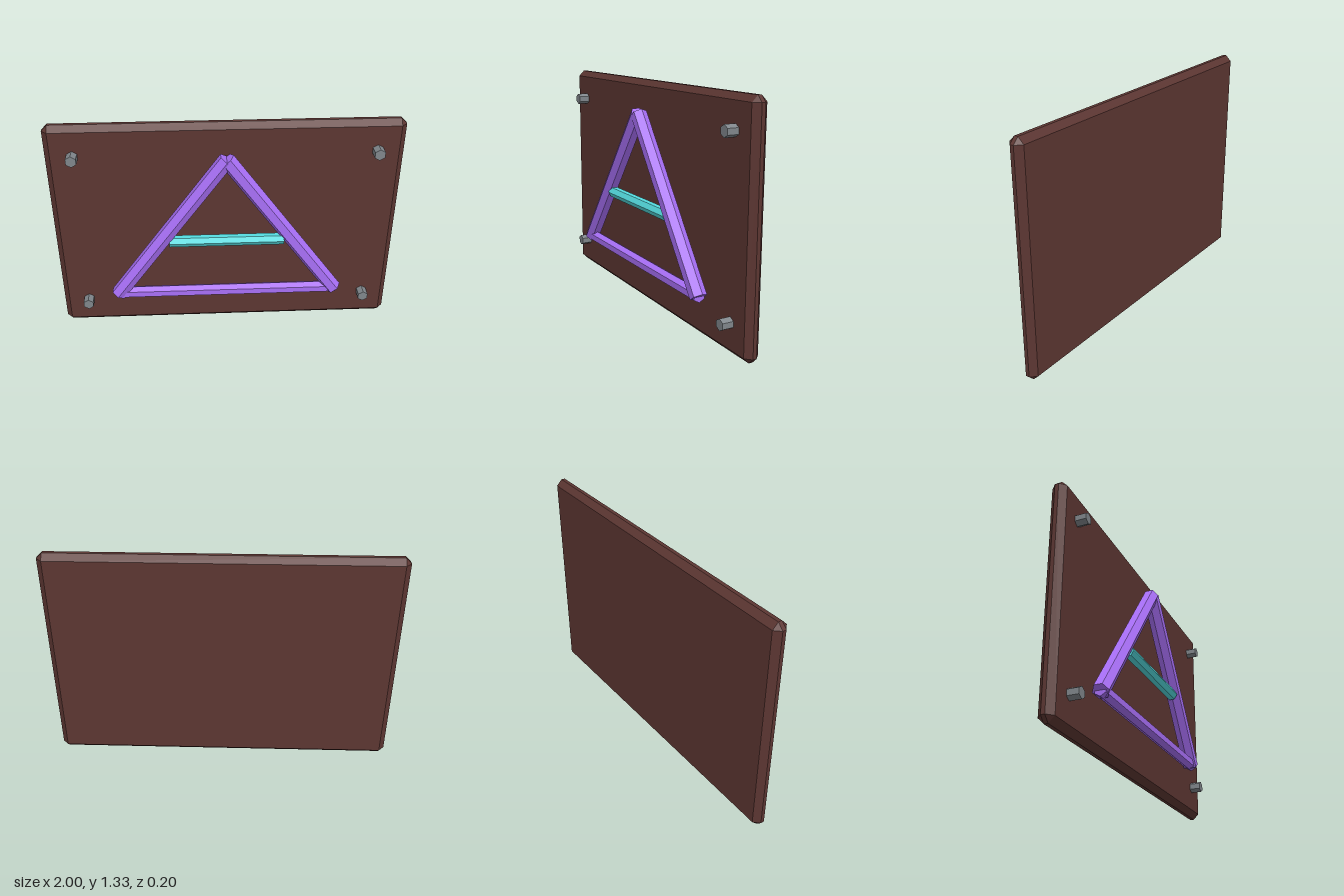
import * as THREE from 'three';
import { ConvexGeometry } from 'three/addons/geometries/ConvexGeometry.js';

const paint = (color) => new THREE.MeshStandardMaterial({ color, flatShading: true });

// Box with every edge cut by a single chamfer c
function chamferedBox(w, h, d, c) {
  const [x, y, z] = [w / 2, h / 2, d / 2];
  const points = [];
  for (const sx of [-1, 1]) for (const sy of [-1, 1]) for (const sz of [-1, 1]) {
    points.push(
      new THREE.Vector3(sx * x, sy * (y - c), sz * (z - c)),
      new THREE.Vector3(sx * (x - c), sy * y, sz * (z - c)),
      new THREE.Vector3(sx * (x - c), sy * (y - c), sz * z)
    );
  }
  return new ConvexGeometry(points);
}

// Six-sided bar between two points; pointed puts an edge towards +z, otherwise a flat
function hexBar(name, from, to, radius, pointed, material) {
  const a = new THREE.Vector3(...from);
  const b = new THREE.Vector3(...to);
  const geometry = new THREE.CylinderGeometry(radius, radius, a.distanceTo(b), 6);
  if (!pointed) geometry.rotateY(Math.PI / 6);
  const bar = new THREE.Mesh(geometry, material);
  bar.name = name;
  bar.position.copy(a).add(b).multiplyScalar(0.5);
  bar.quaternion.setFromUnitVectors(new THREE.Vector3(0, 1, 0), b.sub(a).normalize());
  return bar;
}

export function createModel() {
  const group = new THREE.Group();
  group.name = 'wallSign';

  const brown = paint(0x5c3632);
  const purple = paint(0xa970f8);
  const cyan = paint(0x55dce0);
  const steel = paint(0x80868b);

  // Backing board
  const board = new THREE.Mesh(chamferedBox(2, 1.333, 0.088, 0.033), brown);
  board.name = 'board';
  board.position.set(0, 0.6665, -0.056);
  group.add(board);

  // Corner bolts
  for (const x of [-0.845, 0.845]) for (const y of [0.18, 1.157]) {
    const geometry = new THREE.CylinderGeometry(0.033, 0.033, 0.075, 6).rotateX(Math.PI / 2);
    const bolt = new THREE.Mesh(geometry, steel);
    bolt.name = 'bolt';
    bolt.position.set(x, y, 0.0155);
    group.add(bolt);
  }

  // Triangle of tubes with a crossbar
  const z = 0.054;
  group.add(
    hexBar('rightTube', [-0.655, 0.262, z], [0, 1.152, z], 0.047, true, purple),
    hexBar('leftTube', [0.652, 0.262, z], [0, 1.152, z], 0.047, false, purple),
    hexBar('bottomTube', [-0.66, 0.27, z], [0.66, 0.27, z], 0.036, false, purple),
    hexBar('crossbar', [-0.333, 0.628, z], [0.333, 0.628, z], 0.034, true, cyan)
  );

  return group;
}
